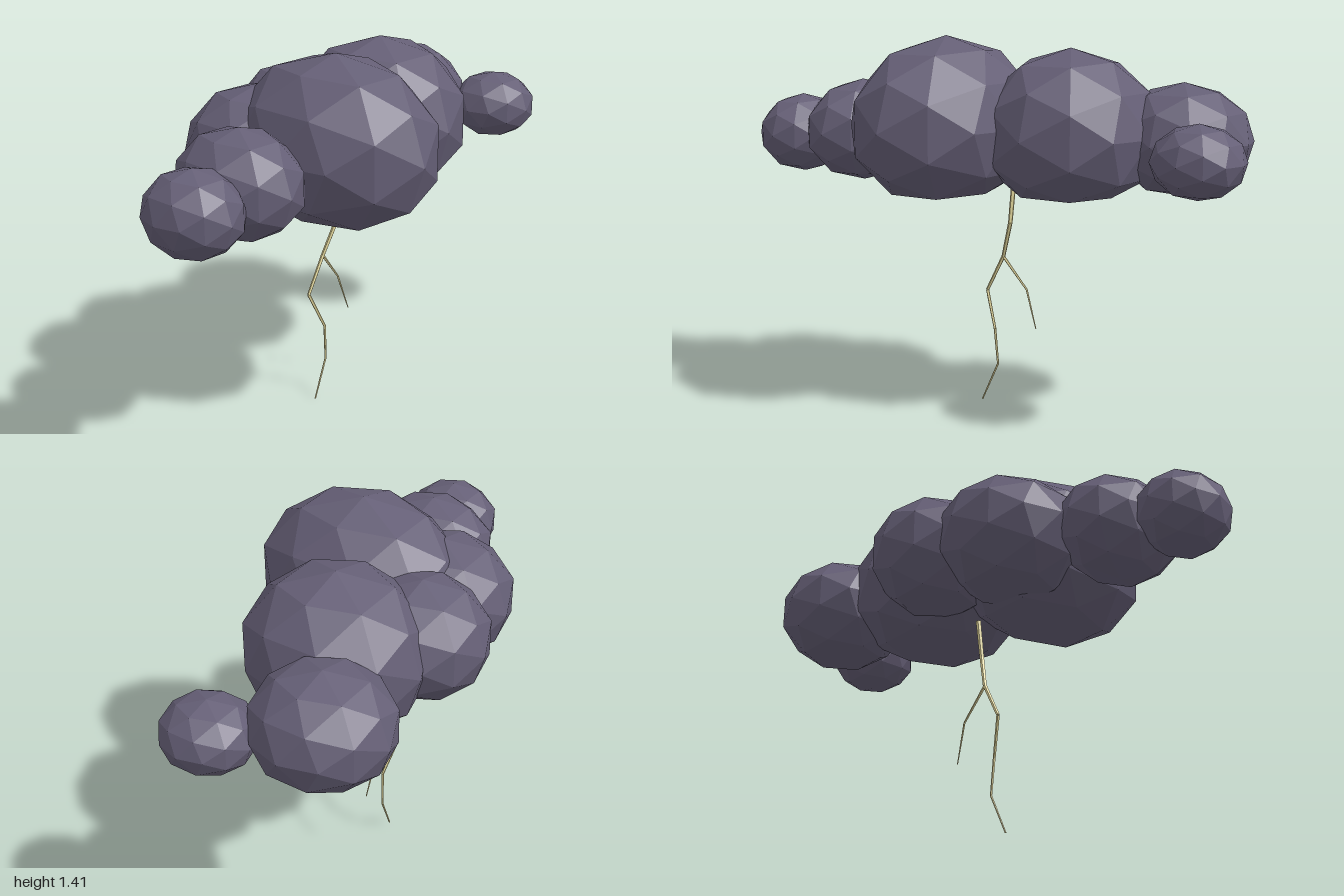
import * as THREE from 'three';

const CLOUD_BASE = 0.84;
const cloudMaterial = new THREE.MeshStandardMaterial({ color: 0x655f76, flatShading: true });
const boltMaterial = new THREE.MeshStandardMaterial({ color: 0xe8dca0, flatShading: true });

// Faceted ball with a corner on each axis, cut flat at the cloud base
function makePuff(name, center, radii) {
  const geometry = new THREE.IcosahedronGeometry(1, 1);
  geometry.scale(...radii);
  geometry.translate(...center);
  const position = geometry.attributes.position;
  for (let i = 0; i < position.count; i++) {
    position.setY(i, Math.max(position.getY(i), CLOUD_BASE));
  }
  geometry.computeVertexNormals();
  const mesh = new THREE.Mesh(geometry, cloudMaterial);
  mesh.name = name;
  return mesh;
}

// Chain of tapering rods along a jagged path
function makeBolt(name, path, startRadius, endRadius) {
  const group = new THREE.Group();
  group.name = name;
  const points = path.map((p) => new THREE.Vector3(...p));
  const last = points.length - 1;
  const radiusAt = (i) => THREE.MathUtils.lerp(startRadius, endRadius, i / last);
  for (let i = 0; i < last; i++) {
    const along = points[i].clone().sub(points[i + 1]);
    const rod = new THREE.Mesh(
      new THREE.CylinderGeometry(radiusAt(i), radiusAt(i + 1), along.length(), 5),
      boltMaterial
    );
    rod.name = `${name}Segment${i + 1}`;
    rod.position.addVectors(points[i], points[i + 1]).multiplyScalar(0.5);
    rod.quaternion.setFromUnitVectors(new THREE.Vector3(0, 1, 0), along.normalize());
    group.add(rod);
  }
  return group;
}

export function createModel() {
  const model = new THREE.Group();
  model.name = 'stormCloud';

  // Cloud puffs: name, centre, radii
  const cloud = new THREE.Group();
  cloud.name = 'cloud';
  const puffs = [
    ['frontPuff', [-0.155, 1.085, 0.105], [0.325, 0.325, 0.41]],
    ['middlePuff', [0.27, 1.06, -0.07], [0.33, 0.31, 0.34]],
    ['backPuff', [0.035, 1.06, -0.265], [0.245, 0.225, 0.255]],
    ['backRightPuff', [-0.26, 1.045, -0.165], [0.275, 0.23, 0.275]],
    ['leftPuff', [0.625, 1.04, -0.265], [0.255, 0.21, 0.255]],
    ['leftEndPuff', [0.835, 1.012, 0.037], [0.165, 0.13, 0.168]],
    ['rightPuff', [-0.58, 1.037, 0.07], [0.205, 0.195, 0.248]],
    ['rightEndPuff', [-0.835, 1.015, 0.13], [0.165, 0.152, 0.183]],
  ];
  puffs.forEach((puff) => cloud.add(makePuff(...puff)));
  model.add(cloud);

  // Lightning with one fork
  const fork = [-0.03, 0.57, -0.083];
  model.add(makeBolt('lightningBolt', [
    [0.027, 0.86, -0.067], [0.02, 0.71, -0.055], fork, [-0.105, 0.43, -0.085],
    [-0.05, 0.29, -0.055], [-0.04, 0.15, -0.061], [-0.107, 0, -0.053],
  ], 0.01, 0.003));
  model.add(makeBolt('lightningBranch', [
    fork, [0.067, 0.45, -0.097], [0.115, 0.305, -0.088],
  ], 0.006, 0.002));

  return model;
}
